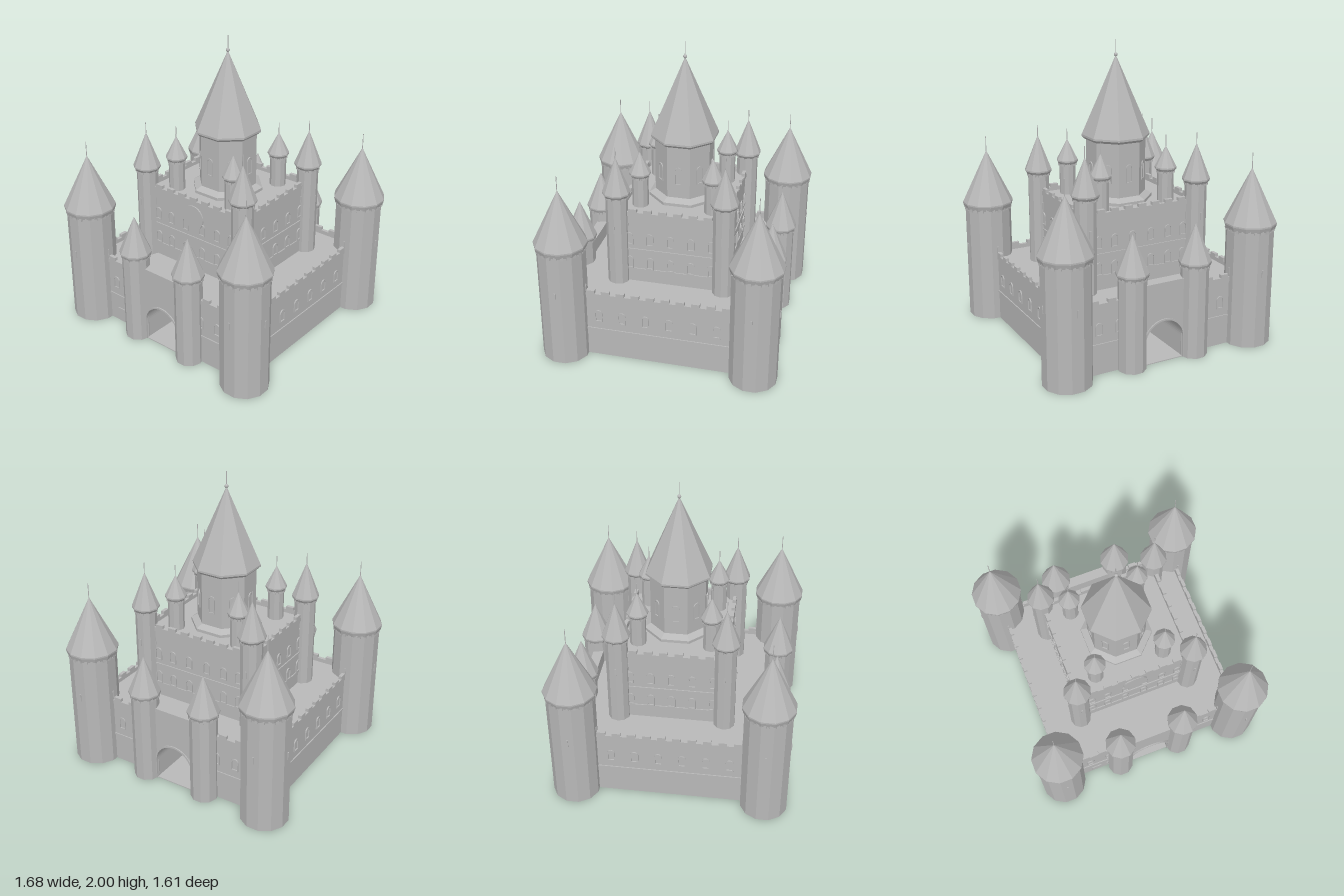
import * as THREE from 'three';

const stone = new THREE.MeshStandardMaterial({ color: 0xb8b8b8, flatShading: true });
stone.name = 'stone';

export function createModel() {
  const castle = new THREE.Group();
  castle.name = 'castle';
  const KZ = -0.02; // centre of the keep in z

  function add(name, geometry, parent = castle, x = 0, y = 0, z = 0, turn = 0) {
    const mesh = new THREE.Mesh(geometry, stone);
    mesh.name = name;
    mesh.position.set(x, y, z);
    mesh.rotation.y = turn;
    parent.add(mesh);
    return mesh;
  }
  const box = (name, w, h, d, x, y, z, parent = castle, turn = 0) =>
    add(name, new THREE.BoxGeometry(w, h, d), parent, x, y + h / 2, z, turn);

  // Faceted turned solid with a flat side facing front; radii are to the flats
  function turned(name, profile, sides, parent) {
    const k = 1 / Math.cos(Math.PI / sides);
    const pts = profile.map(([r, y]) => new THREE.Vector2(r * k, y));
    return add(name, new THREE.LatheGeometry(pts, sides, Math.PI / sides), parent);
  }

  // Round-headed outline standing on y = 0
  function archPath(path, half, height) {
    path.moveTo(-half, 0);
    path.lineTo(half, 0);
    path.lineTo(half, height - half);
    path.absarc(0, height - half, half, 0, Math.PI, false);
    path.lineTo(-half, 0);
    return path;
  }

  // Raised window surround, a thin frame with an open middle
  function windowFrame(w, h, rim = 0.007) {
    const shape = archPath(new THREE.Shape(), w / 2, h);
    const inner = archPath(new THREE.Path(), w / 2 - rim, h - 2 * rim);
    shape.holes.push(new THREE.Path(inner.getPoints(6).map(p => new THREE.Vector2(p.x, p.y + rim))));
    return new THREE.ExtrudeGeometry(shape, { depth: 0.008, bevelEnabled: false, curveSegments: 6 });
  }
  const frame = windowFrame(0.052, 0.088);
  const tallFrame = windowFrame(0.05, 0.125);

  // Tower with a flared conical roof, optional spike, dentils and arrow slits
  function tower(name, x, z, o) {
    const g = new THREE.Group();
    g.name = name;
    g.position.set(x, 0, z);
    castle.add(g);
    const { r, roof, base, eave, apex, sides } = o;
    turned('towerBody', [[0, base], [r, base], [r, eave + 0.01]], sides, g);
    turned('towerRoof', [[r - 0.01, eave], [r + 0.006, eave], [roof, eave + o.lip], [roof, eave + o.lip + 0.01],
      [0, apex]], sides, g);
    if (o.spike) {
      add('spike', new THREE.CylinderGeometry(0.0025, 0.003, o.spike - apex + 0.03, 5), g, 0, (o.spike + apex - 0.03) / 2, 0);
    }
    for (let i = 0; i < (o.dentils || 0); i++) {
      const a = (i + 0.5) / o.dentils * Math.PI * 2;
      box('dentil', 0.02, 0.022, 0.02, Math.sin(a) * r, eave - 0.012, Math.cos(a) * r, g, a);
    }
    for (let i = 0; i < 4 && o.slit; i++) {
      const a = i * Math.PI / 2;
      box('arrowSlit', 0.01, 0.05, 0.008, Math.sin(a) * (r + 0.002), o.slit, Math.cos(a) * (r + 0.002), g, a);
    }
  }

  // Parapet with merlons along a wall centred at (x, z)
  function parapet(name, x, z, length, y, along) {
    const g = new THREE.Group();
    g.name = name;
    g.position.set(x, y, z);
    g.rotation.y = along === 'z' ? Math.PI / 2 : 0;
    castle.add(g);
    box('parapetWall', length, 0.03, 0.024, 0, 0, 0, g);
    const n = Math.max(1, Math.round(length / 0.1));
    for (let i = 0; i < n; i++) {
      box('merlon', 0.055, 0.022, 0.024, ((i + 0.5) / n - 0.5) * length, 0.03, 0, g);
    }
  }

  // Outer ward: a solid block pierced front to back by the arched passage
  function pierced(half, height, depth) {
    const s = new THREE.Shape();
    s.moveTo(half, 0);
    s.lineTo(half, height);
    s.lineTo(-half, height);
    s.lineTo(-half, 0);
    s.lineTo(-0.14, 0);
    s.lineTo(-0.14, 0.145);
    s.absarc(0, 0.145, 0.14, Math.PI, 0, true);
    s.lineTo(0.14, 0);
    return new THREE.ExtrudeGeometry(s, { depth, bevelEnabled: false, curveSegments: 16 });
  }
  add('outerWard', pierced(0.67, 0.447, 1.27), castle, 0, 0, -0.635);
  box('passageFloor', 0.28, 0.006, 1.34, 0, 0, 0);

  // Stone surround of the gate arch
  const ring = new THREE.Shape();
  ring.moveTo(0.14, 0);
  ring.lineTo(0.152, 0);
  ring.lineTo(0.152, 0.145);
  ring.absarc(0, 0.145, 0.152, 0, Math.PI, false);
  ring.lineTo(-0.152, 0);
  ring.lineTo(-0.14, 0);
  ring.lineTo(-0.14, 0.145);
  ring.absarc(0, 0.145, 0.14, Math.PI, 0, true);
  const surround = new THREE.ExtrudeGeometry(ring, { depth: 0.01, bevelEnabled: false, curveSegments: 16 });

  for (const s of [-1, 1]) {
    const turn = s > 0 ? 0 : Math.PI;
    const faceX = s * Math.PI / 2;
    // Gatehouse, front and back
    add('gatehouse', pierced(0.22, 0.545, 0.07), castle, 0, 0, s > 0 ? 0.6 : -0.67);
    add('gateSurround', surround, castle, 0, 0, s * 0.668, turn);

    // Outer walls: string courses, parapets and windows
    box('sideStringCourse', 0.008, 0.014, 1.0, s * 0.673, 0.195, 0);
    parapet('sideParapet', s * 0.664, 0, 1.0, 0.445, 'z');
    for (let i = 0; i < 6; i++) {
      add('wallWindow', frame, castle, s * 0.67, 0.262, 0.005 + (i - 2.5) * 0.158, faceX);
    }
    for (const t of [-1, 1]) {
      box('endStringCourse', 0.26, 0.014, 0.008, t * 0.42, 0.195, s * 0.638);
      parapet('endParapet', t * 0.42, s * 0.628, 0.24, 0.445, 'x');
      for (const x of [0.31, 0.45]) add('wallWindow', frame, castle, t * x, 0.262, s * 0.635, turn);

      tower('cornerTower', t * 0.672, s * 0.635, { r: 0.154, roof: 0.169, base: 0, eave: 0.8, lip: 0.03,
        apex: 1.2, spike: 1.3, sides: 12, dentils: 24, slit: 0.49 });
      tower('gateTower', t * 0.23, s * 0.658, { r: 0.088, roof: 0.102, base: 0, eave: 0.62, lip: 0.02,
        apex: 0.9, sides: 10, dentils: 14 });
      tower('keepTower', t * 0.41, KZ + s * 0.355, { r: 0.069, roof: 0.088, base: 0.44, eave: 1.075, lip: 0.02,
        apex: 1.34, spike: 1.41, sides: 10, dentils: 12, slit: 0.83 });
      tower('innerTurret', t * 0.243, KZ + s * 0.243, { r: 0.052, roof: 0.069, base: 0.93, eave: 1.15, lip: 0.018,
        apex: 1.32, spike: 1.39, sides: 10, dentils: 10 });
    }

    // Keep walls: string courses, parapets and two rows of windows
    for (const y of [0.535, 0.683]) {
      box('keepSideCourse', 0.008, 0.012, 0.6, s * 0.413, y, KZ);
      box('keepEndCourse', 0.7, 0.012, 0.008, 0, y, KZ + s * 0.358);
    }
    parapet('keepSideParapet', s * 0.406, KZ, 0.6, 0.935, 'z');
    parapet('keepEndParapet', 0, KZ + s * 0.351, 0.7, 0.935, 'x');
    for (const y of [0.547, 0.725]) {
      for (let i = -2; i <= 2; i++) add('keepWindow', frame, castle, s * 0.41, y, KZ + i * 0.138, faceX);
      for (const x of [-0.315, -0.2, -0.07, 0.07, 0.2, 0.315]) {
        add('keepWindow', frame, castle, x, y, KZ + s * 0.355, turn);
      }
    }
  }
  box('keep', 0.82, 0.5, 0.71, 0, 0.44, KZ);

  // Round panel high on the keep front and small hatch in the front wall
  const disc = add('roundPanel', new THREE.CylinderGeometry(0.085, 0.085, 0.009, 24), castle, 0, 0.84, KZ + 0.359);
  disc.rotation.x = Math.PI / 2;
  for (const x of [-0.41, -0.3]) box('hatch', 0.068, 0.07, 0.008, x, 0.035, 0.637);

  // Great tower: octagon with plinth, windows, steep roof and finial
  const great = new THREE.Group();
  great.name = 'greatTower';
  great.position.z = KZ;
  castle.add(great);
  turned('plinth', [[0.225, 0.93], [0.225, 0.96], [0.184, 0.985]], 8, great);
  turned('greatBody', [[0.184, 0.93], [0.184, 1.36]], 8, great);
  turned('greatRoof', [[0.17, 1.348], [0.194, 1.348], [0.21, 1.365], [0.21, 1.378], [0, 1.9]], 8, great);
  for (let i = 0; i < 8; i++) {
    const a = i * Math.PI / 4;
    add('greatWindow', tallFrame, great, Math.sin(a) * 0.183, 1.08, Math.cos(a) * 0.183, a);
  }
  add('finialBall', new THREE.SphereGeometry(0.013, 10, 8), great, 0, 1.902, 0);
  add('finialSpike', new THREE.CylinderGeometry(0.0025, 0.003, 0.12, 5), great, 0, 1.94, 0);

  return castle;
}
